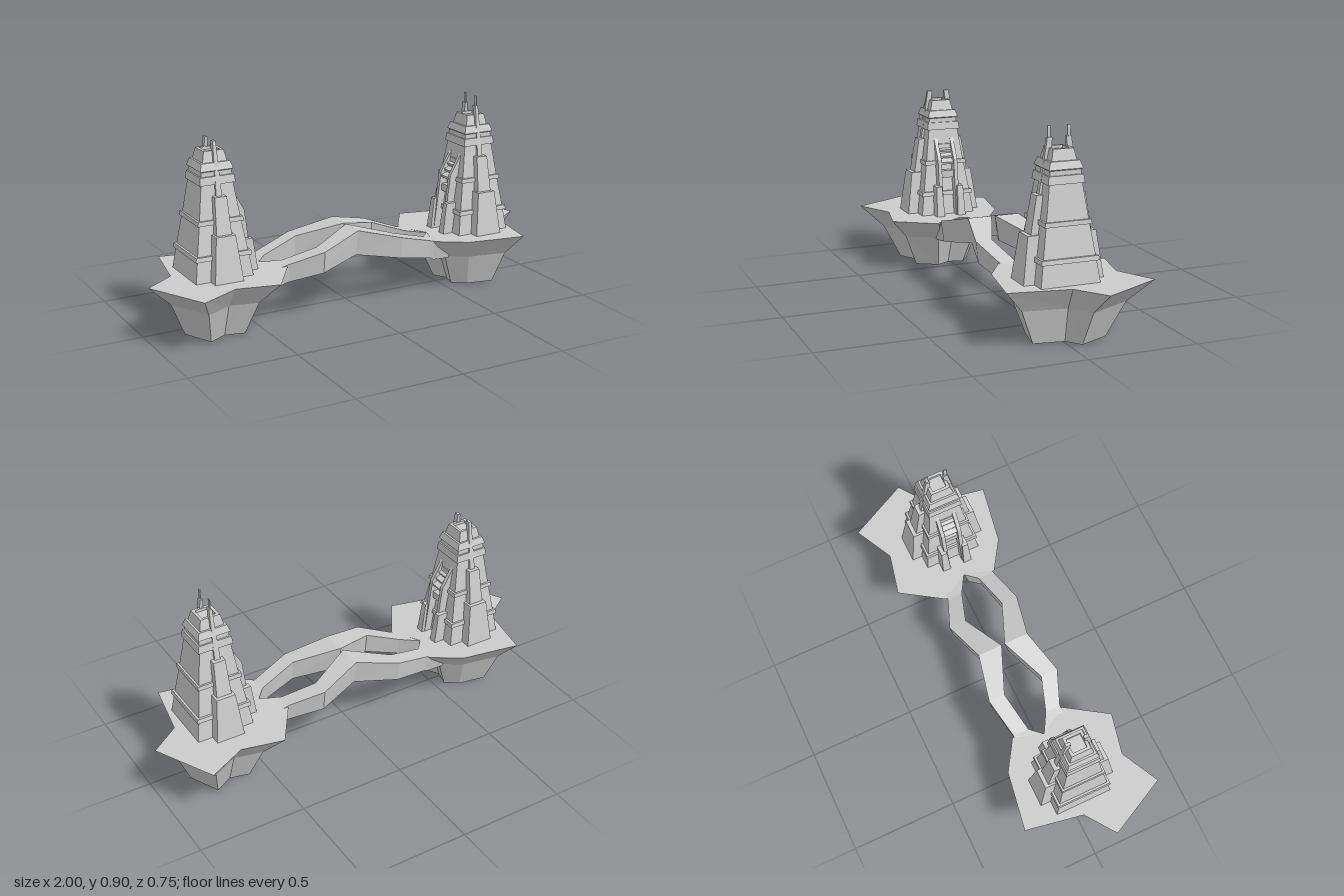
import * as THREE from 'three';

const mat = new THREE.MeshStandardMaterial({ color: 0xcccccc, flatShading: true });

function mesh(geometry, name, parent) {
  const m = new THREE.Mesh(geometry, mat);
  m.name = name;
  parent.add(m);
  return m;
}

// Skin over rings of [x, y, z]; rings turn counter-clockwise about the direction of travel
function loft(rings) {
  const pos = [];
  const tri = (...pts) => pts.forEach((p) => pos.push(...p));
  const n = rings[0].length;
  for (let k = 0; k < rings.length - 1; k++) {
    for (let j = 0; j < n; j++) {
      const i = (j + 1) % n;
      const a = rings[k][j], b = rings[k][i], c = rings[k + 1][i], d = rings[k + 1][j];
      tri(b, c, d);
      tri(b, d, a);
    }
  }
  // fan caps
  [rings[0], rings[rings.length - 1]].forEach((r, end) => {
    const mid = [0, 1, 2].map((c) => r.reduce((s, p) => s + p[c], 0) / n);
    r.forEach((p, j) => {
      const q = r[(j + 1) % n];
      if (end) tri(mid, p, q);
      else tri(mid, q, p);
    });
  });
  const g = new THREE.BufferGeometry();
  g.setAttribute('position', new THREE.Float32BufferAttribute(pos, 3));
  // loft sides run a->b->c around the ring, so flip nothing: both sides and caps face outward
  g.computeVertexNormals();
  return g;
}

// Tapered block standing against the +z face: [halfWidth, back, front, y] at foot and head
function taper(foot, head) {
  return loft([foot, head].map(([w, b, f, y]) => [[-w, y, f], [w, y, f], [w, y, b], [-w, y, b]]));
}

// Floating rock with a jagged outline, narrowing downwards
function makeIsland() {
  const outline = [[-1, 0.095], [-0.86, 0.373], [-0.68, 0.282], [-0.488, 0.325], [-0.36, 0.13],
    [-0.44, 0], [-0.395, -0.14], [-0.535, -0.23], [-0.81, -0.277], [-0.86, -0.005]];
  const cx = -0.68, cz = 0.02;
  const levels = [[0, 0.46, 0.5], [0.155, 0.67, 0.71], [0.255, 1, 1]];
  const g = new THREE.Group();
  mesh(loft(levels.map(([y, sx, sz]) =>
    outline.map(([x, z]) => [cx + (x - cx) * sx, y, cz + (z - cz) * sz]))), 'rock', g);
  return g;
}

// Stepped square tower with its gate facing +x
function makeTower(withPoles) {
  const g = new THREE.Group();

  // main shaft: half-width and height, with projecting ledges and a sunken roof
  const profile = [[0.135, 0.25], [0.121, 0.35], [0.131, 0.35], [0.128, 0.37], [0.118, 0.37],
    [0.098, 0.5], [0.106, 0.5], [0.104, 0.52], [0.095, 0.52], [0.074, 0.67], [0.083, 0.67],
    [0.078, 0.705], [0.071, 0.705], [0.07, 0.725], [0.077, 0.73], [0.066, 0.762],
    [0.057, 0.762], [0.046, 0.81], [0.033, 0.81], [0.033, 0.797], [0, 0.797]];
  const shaft = new THREE.LatheGeometry(
    profile.map(([r, y]) => new THREE.Vector2(r * Math.SQRT2, y)), 4);
  shaft.rotateY(Math.PI / 4);
  mesh(shaft, 'shaft', g);

  // three-tier buttresses ending in a fin, on both flanks
  for (const turn of [0, Math.PI]) {
    const b = new THREE.Group();
    b.name = 'buttress';
    b.rotation.y = turn;
    mesh(taper([0.067, 0.05, 0.183, 0.25], [0.045, 0.05, 0.155, 0.457]), 'lowerTier', b);
    mesh(taper([0.036, 0.04, 0.14, 0.44], [0.028, 0.04, 0.11, 0.62]), 'middleTier', b);
    mesh(taper([0.014, 0.06, 0.096, 0.6], [0.007, 0.031, 0.054, 0.853]), 'fin', b);
    if (withPoles) {
      mesh(new THREE.BoxGeometry(0.004, 0.06, 0.015), 'pole', b).position.set(0, 0.87, 0.045);
    }
    g.add(b);
  }

  // gate: two sloping side walls
  const side = new THREE.Shape([[0.04, 0.25], [0.17, 0.25], [0.135, 0.53], [0.078, 0.63], [0.04, 0.63]]
    .map((p) => new THREE.Vector2(...p)));
  for (const s of [-1, 1]) {
    const wall = new THREE.ExtrudeGeometry(side, { depth: 0.018, bevelEnabled: false });
    mesh(wall, 'gateWall', g).position.z = s * 0.041 - 0.009;
    const pier = mesh(taper([0.02, 0.05, 0.185, 0.25], [0.014, 0.05, 0.165, 0.4]), 'gatePier', g);
    pier.rotation.y = Math.PI / 2;
    pier.position.z = s * 0.054;
  }
  // lintel and louvres between the walls
  mesh(new THREE.BoxGeometry(0.08, 0.035, 0.07), 'lintel', g).position.set(0.09, 0.455, 0);
  for (let i = 0; i < 4; i++) {
    const slat = mesh(new THREE.BoxGeometry(0.06, 0.012, 0.07), 'louvre', g);
    slat.position.set(0.104 - i * 0.016, 0.52 + i * 0.028, 0);
    slat.rotation.z = -0.35;
  }
  return g;
}

// One winding bridge strand: [outer x, outer z, inner x, inner z, top y, bottom y]
function makeBridge() {
  const stations = [
    [-0.5, 0.13, -0.5, 0, 0.25, 0.15], [-0.4, 0.125, -0.44, 0, 0.252, 0.155],
    [-0.35, 0.125, -0.35, 0.052, 0.262, 0.175], [-0.2, 0.183, -0.2, 0.1, 0.312, 0.21],
    [0, 0.125, 0, 0.008, 0.365, 0.245], [0.208, 0.17, 0.208, 0.092, 0.312, 0.21],
    [0.39, 0.132, 0.39, 0.056, 0.257, 0.17], [0.41, 0.132, 0.44, 0, 0.252, 0.155],
    [0.5, 0.13, 0.5, 0, 0.25, 0.15]];
  const inset = 0.16;
  const g = new THREE.Group();
  mesh(loft(stations.map(([ox, oz, ix, iz, t, b]) => {
    const dx = (ix - ox) * inset, dz = (iz - oz) * inset;
    return [[ox, t, oz], [ox + dx, b, oz + dz], [ix - dx, b, iz - dz], [ix, t, iz]];
  })), 'strand', g);
  return g;
}

export function createModel() {
  const model = new THREE.Group();
  const add = (part, name, turn, x = 0, z = 0) => {
    part.name = name;
    part.rotation.y = turn;
    part.position.set(x, 0, z);
    model.add(part);
  };
  add(makeIsland(), 'rightIsland', 0);
  add(makeIsland(), 'leftIsland', Math.PI);
  add(makeBridge(), 'frontBridge', 0);
  add(makeBridge(), 'backBridge', Math.PI);
  add(makeTower(false), 'rightTower', 0, -0.672, 0.021);
  add(makeTower(true), 'leftTower', Math.PI, 0.68, -0.008);
  return model;
}
